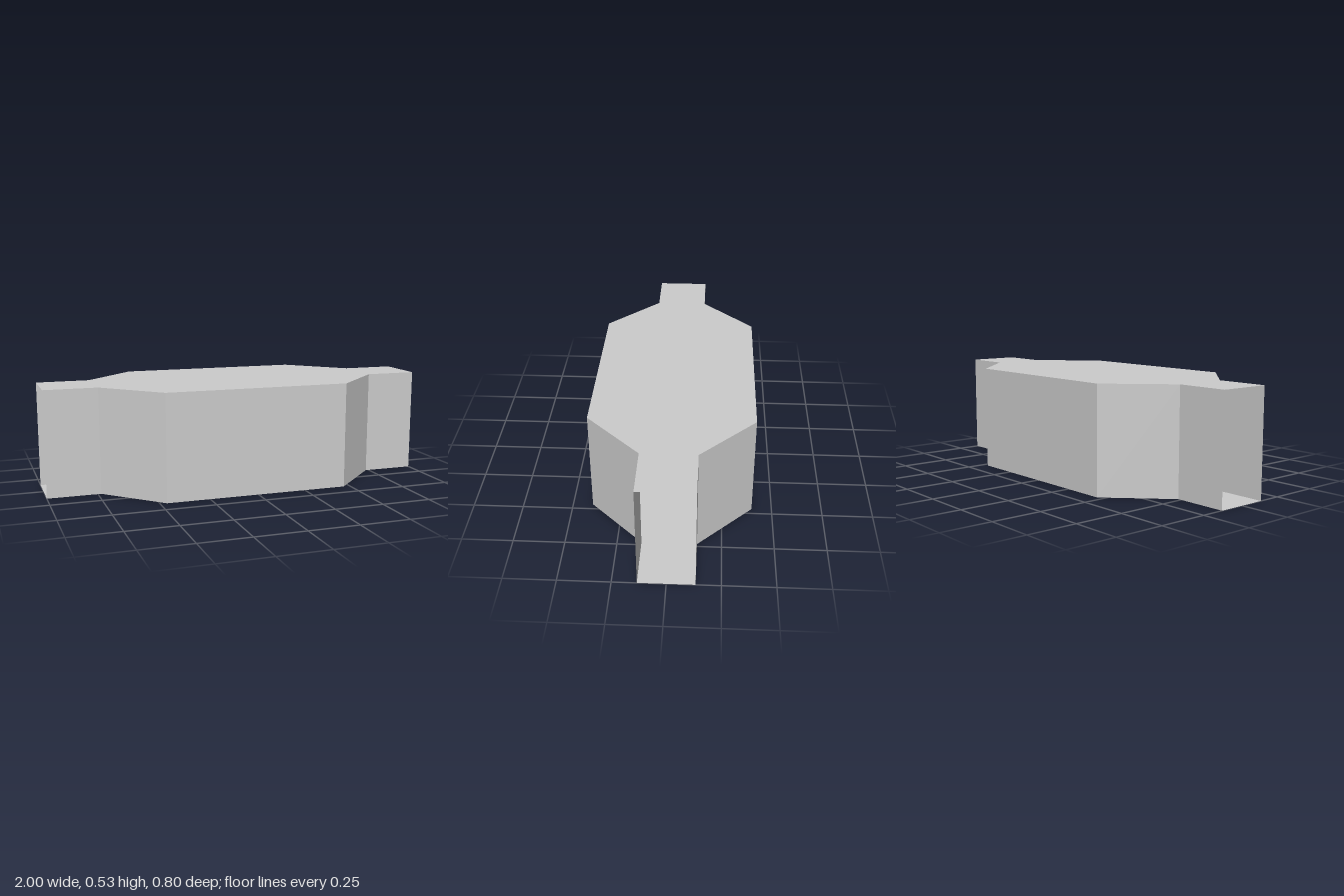
import * as THREE from 'three';

const HEIGHT = 0.5333;
// Plan outline of one side, as [x, distance from the centre line]
const OUTLINE = [
  [-1, 0.1333], [-0.7333, 0.1333], [-0.4667, 0.4],
  [0.4667, 0.4], [0.7333, 0.1333], [1, 0.1333],
];
const WALL_NAMES = ['rightNeckWall', 'rightFlareWall', 'chamberWall', 'leftFlareWall', 'leftNeckWall'];

export function createModel() {
  const model = new THREE.Group();
  model.name = 'openDuct';
  const metal = new THREE.MeshStandardMaterial({ color: 0xcccccc, side: THREE.DoubleSide });
  metal.name = 'plain grey';

  // Flat panels above and below; both ends of the duct stay open
  const plan = new THREE.Shape([
    ...OUTLINE.map(([x, z]) => new THREE.Vector2(x, -z)),
    ...OUTLINE.map(([x, z]) => new THREE.Vector2(-x, z)),
  ]);
  for (const [name, y, turn] of [['topPanel', HEIGHT, -1], ['bottomPanel', 0, 1]]) {
    const panel = new THREE.Mesh(new THREE.ShapeGeometry(plan).rotateX(turn * Math.PI / 2), metal);
    panel.name = name;
    panel.position.y = y;
    model.add(panel);
  }

  // Upright walls following the outline, repeated at the back by a half turn
  for (const [name, turn] of [['frontWalls', 0], ['backWalls', Math.PI]]) {
    const side = new THREE.Group();
    side.name = name;
    side.rotation.y = turn;
    WALL_NAMES.forEach((wallName, i) => {
      const [x0, z0] = OUTLINE[i];
      const [x1, z1] = OUTLINE[i + 1];
      const width = Math.hypot(x1 - x0, z1 - z0);
      const wall = new THREE.Mesh(new THREE.PlaneGeometry(width, HEIGHT), metal);
      wall.name = wallName;
      wall.position.set((x0 + x1) / 2, HEIGHT / 2, (z0 + z1) / 2);
      wall.rotation.y = Math.atan2(z0 - z1, x1 - x0);
      side.add(wall);
    });
    model.add(side);
  }
  return model;
}
